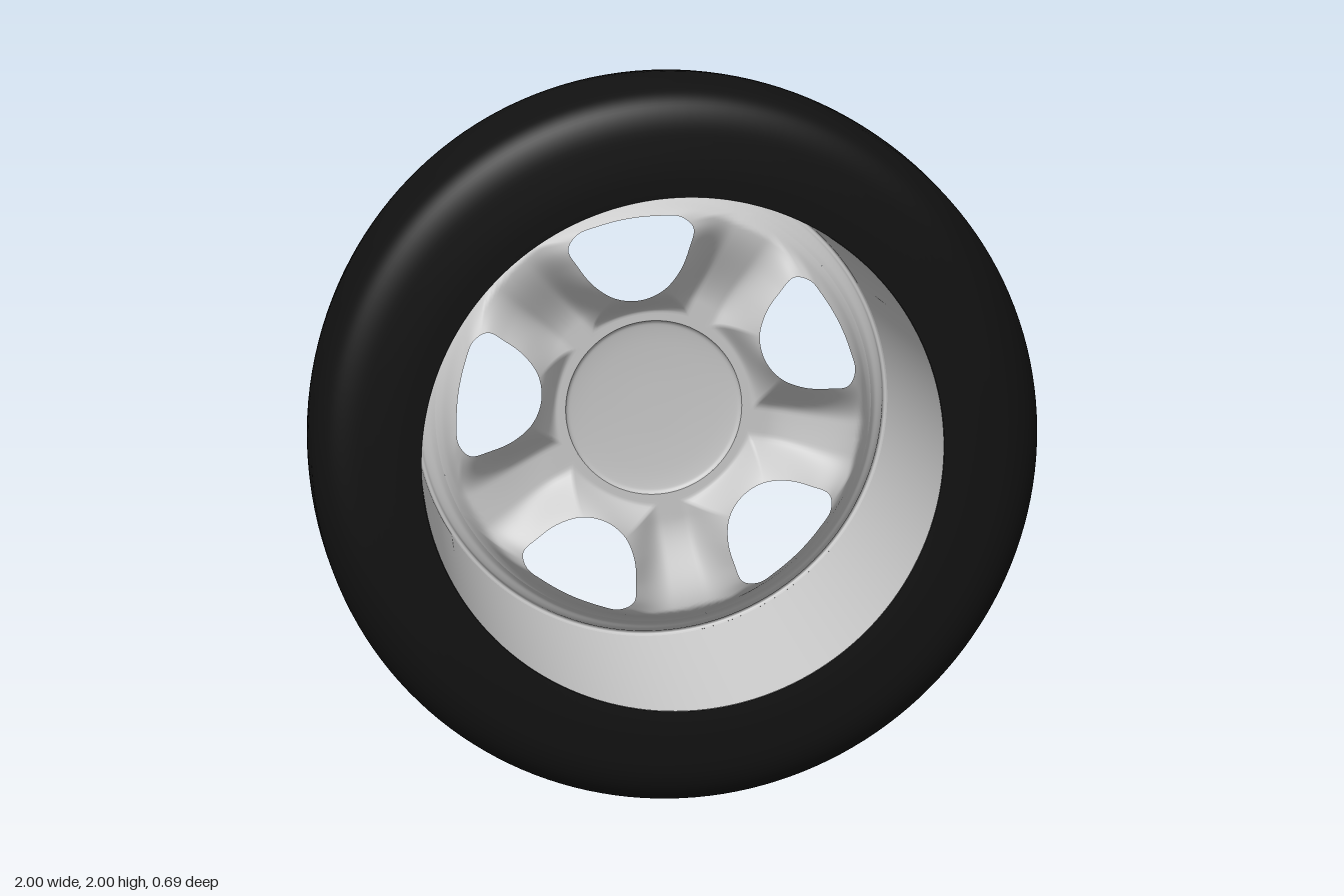
import * as THREE from 'three';
import { mergeVertices } from 'three/addons/utils/BufferGeometryUtils.js';

const V2 = (x, y) => new THREE.Vector2(x, y);
const { lerp, smoothstep, degToRad } = THREE.MathUtils;
const metal = new THREE.MeshStandardMaterial({ color: 0xcccccc, side: THREE.DoubleSide });
const rubber = new THREE.MeshStandardMaterial({ color: 0x111111, side: THREE.DoubleSide });

const HUB_R = 0.26, WEB_R = 0.64, SPOKES = 5, HALF = Math.PI / SPOKES;
const FIRST_HOLE = degToRad(99);

// Surface of revolution about z; points are [radius, z]
function ring(name, points, material, smooth = 0) {
  let pts = points.map(([r, z]) => V2(r, z));
  if (smooth) pts = new THREE.SplineCurve(pts).getPoints(smooth);
  const geo = new THREE.LatheGeometry(pts, 160).rotateX(Math.PI / 2);
  const mesh = new THREE.Mesh(geo, material);
  mesh.name = name;
  return mesh;
}

// Depth of the spoked face along its radius: falls away, then climbs the rim wall
const spokeZ = r => -0.325 + 0.085 * smoothstep(r, 0.34, 0.6) - 0.055 * smoothstep(r, 0.595, 0.65);

// One window outline, as [angle, radius] pairs
function windowLoop(count) {
  const half = [[0.07, 0.362], [0.125, 0.41], [0.16, 0.47], [0.18, 0.525], [0.15, 0.562], [0.09, 0.576]];
  const pts = [[0, 0.345], ...half, [0, 0.583], ...half.slice().reverse().map(([u, v]) => [-u, v])];
  const curve = new THREE.CatmullRomCurve3(pts.map(([u, v]) => new THREE.Vector3(u, v, 0)), true);
  curve.arcLengthDivisions = 600;
  return curve.getSpacedPoints(count).slice(0, count).map(p => [Math.atan2(p.x, p.y), Math.hypot(p.x, p.y)]);
}

// Outline of one fifth of the face, as [angle, radius] pairs
function sectorLoop(nIn, nSide, nOut) {
  const corners = [[0, HUB_R], [HALF, HUB_R], [HALF, WEB_R], [-HALF, WEB_R], [-HALF, HUB_R], [0, HUB_R]];
  const counts = [nIn, nSide, 2 * nOut, nSide, nIn];
  const loop = [];
  counts.forEach((n, k) => {
    for (let i = 0; i < n; i++) {
      loop.push([0, 1].map(c => lerp(corners[k][c], corners[k + 1][c], i / n)));
    }
  });
  return loop;
}

// Spoked face: each fifth is skinned from its window edge out to its sector edge
function spokedFace() {
  const outer = sectorLoop(12, 38, 30), n = outer.length, inner = windowLoop(n), rows = 16;
  const pos = [], index = [];
  for (let k = 0; k < SPOKES; k++) {
    const base = pos.length / 3, turn = FIRST_HOLE + k * 2 * HALF;
    for (let j = 0; j <= rows; j++) {
      const s = j / rows, dip = 1 - smoothstep(s, -0.25, 0.7);
      for (let i = 0; i < n; i++) {
        const a = turn + lerp(inner[i][0], outer[i][0], s);
        const r = lerp(inner[i][1], outer[i][1], s);
        const z = lerp(spokeZ(r), -0.18, dip);
        pos.push(r * Math.cos(a), r * Math.sin(a), z);
        if (j < rows) {
          const p = base + j * n + i, q = base + j * n + (i + 1) % n;
          index.push(p, q, p + n, q, q + n, p + n);
        }
      }
    }
  }
  let geo = new THREE.BufferGeometry();
  geo.setAttribute('position', new THREE.Float32BufferAttribute(pos, 3));
  geo.setIndex(index);
  geo = mergeVertices(geo, 1e-4);
  geo.computeVertexNormals();
  const mesh = new THREE.Mesh(geo, metal);
  mesh.name = 'spokedFace';
  return mesh;
}

export function createModel() {
  const wheel = new THREE.Group();
  wheel.name = 'wheel';

  // Tyre: flat sidewalls, rounded shoulders, slightly crowned tread
  const side = [[0.7, 0.343], [0.76, 0.346], [0.83, 0.346], [0.89, 0.343], [0.935, 0.328],
    [0.965, 0.3], [0.981, 0.262], [0.988, 0.21], [0.996, 0.12]];
  const tyre = [...side.map(([r, z]) => [r, -z]), [1, 0], ...side.slice().reverse()];
  wheel.add(ring('tyre', tyre, rubber, 72));

  // Rim: open barrel and stepped lip around the face
  wheel.add(ring('barrel', [[0.7, -0.335], [0.699, 0.343]], metal));
  wheel.add(ring('rimLip', [[WEB_R, spokeZ(WEB_R)], [0.648, -0.302], [0.657, -0.312], [0.672, -0.322],
    [0.683, -0.332], [0.689, -0.346], [0.697, -0.348], [0.701, -0.338]], metal, 28));

  wheel.add(spokedFace());

  // Shallow domed centre cap
  wheel.add(ring('centreCap', [[0, -0.348], [0.1, -0.347], [0.19, -0.343], [0.24, -0.338],
    [0.254, -0.334], [0.259, -0.328], [HUB_R, -0.325]], metal, 24));

  wheel.position.y = 1;
  const model = new THREE.Group();
  model.add(wheel);
  return model;
}
